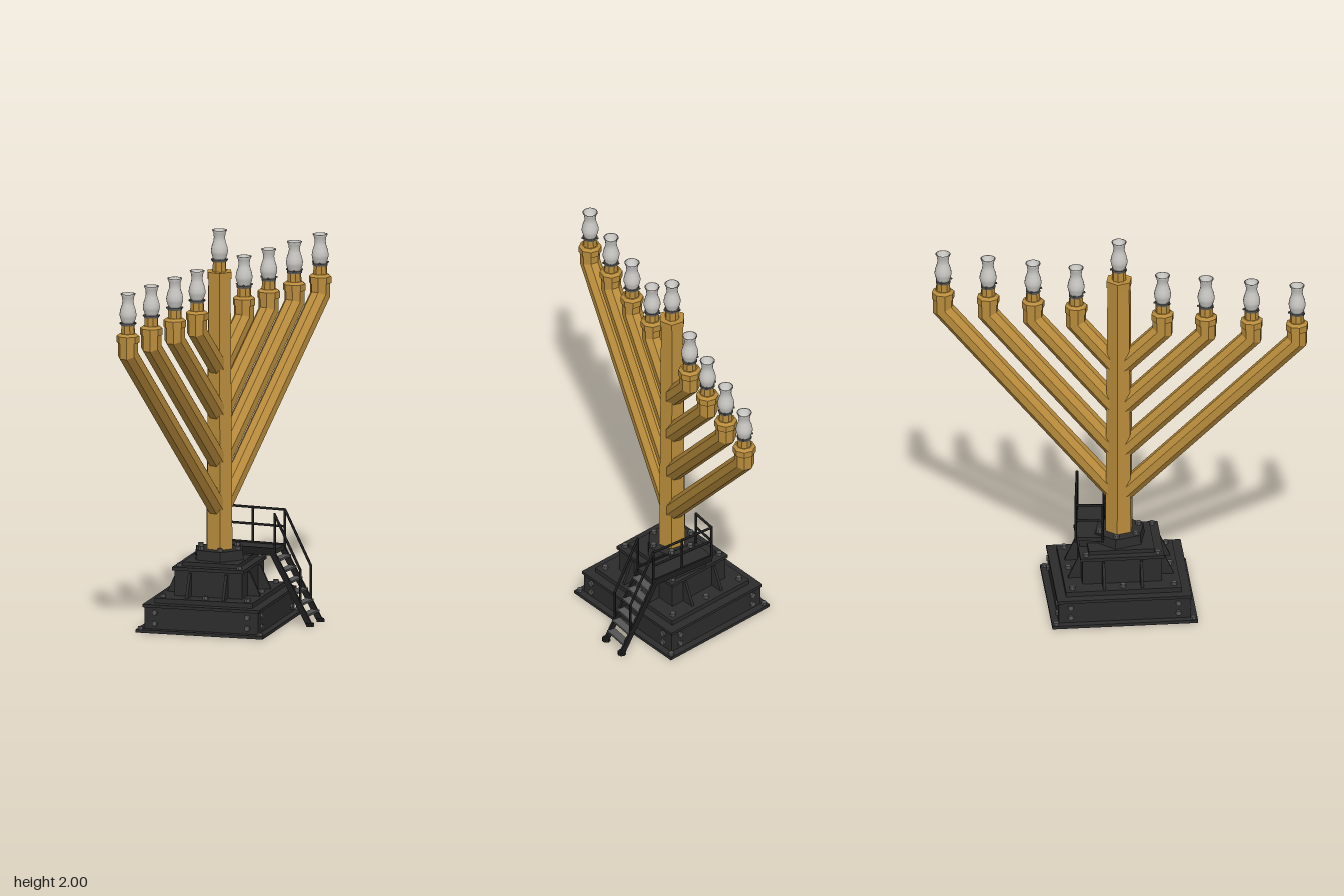
import * as THREE from 'three';

const mat = (name, color, side = THREE.FrontSide) => {
  const m = new THREE.MeshStandardMaterial({ color, side });
  m.name = name;
  return m;
};

export function createModel() {
  const gold = mat('gold', 0xb98c3c);
  const glass = mat('frosted glass', 0xc9c7c3, THREE.DoubleSide);
  const black = mat('black plinth', 0x2c2c2d);
  const dark = mat('dark railing', 0x1e1e1f);
  const steel = mat('grey steel', 0x565656);
  const root = new THREE.Group();
  root.name = 'branchedLampStand';

  const group = (name, parent) => {
    const g = new THREE.Group();
    g.name = name;
    parent.add(g);
    return g;
  };
  const add = (parent, name, geo, material, x = 0, y = 0, z = 0) => {
    const m = new THREE.Mesh(geo, material);
    m.name = name;
    m.position.set(x, y, z);
    parent.add(m);
    return m;
  };
  const flat = (geo) => {
    const g = geo.toNonIndexed();
    g.computeVertexNormals();
    return g;
  };
  const prism = (r0, r1, h, n) => flat(new THREE.CylinderGeometry(r1, r0, h, n));
  const box = (parent, name, w, y0, y1, d, material = black, x = 0, z = 0) =>
    add(parent, name, new THREE.BoxGeometry(w, y1 - y0, d), material, x, (y0 + y1) / 2, z);
  // Straight bar between two points
  const bar = (parent, name, a, b, r, material = dark, n = 6) => {
    const p = new THREE.Vector3(...a), q = new THREE.Vector3(...b);
    const m = add(parent, name, new THREE.CylinderGeometry(r, r, p.distanceTo(q), n), material);
    m.position.copy(p).add(q).multiplyScalar(0.5);
    m.quaternion.setFromUnitVectors(new THREE.Vector3(0, 1, 0), q.sub(p).normalize());
    return m;
  };

  const stand = group('stand', root);
  stand.position.x = -0.045;

  // Lamp: gold neck, glass chimney and small holding screws
  const chimney = new THREE.LatheGeometry([
    [0.001, 0], [0.033, 0], [0.035, 0.012], [0.041, 0.03], [0.043, 0.045], [0.039, 0.068], [0.03, 0.095],
    [0.028, 0.112], [0.031, 0.135], [0.038, 0.15], [0.032, 0.15], [0.024, 0.112], [0.001, 0.112],
  ].map(([x, y]) => new THREE.Vector2(x, y)), 16);
  const lamp = (parent, y, z, neck) => {
    const g = group('lamp', parent);
    g.position.set(0, y, z);
    add(g, 'lampNeck', prism(0.036, 0.034, neck, 8), gold, 0, neck / 2);
    add(g, 'lampSeat', prism(0.037, 0.037, 0.012, 12), steel, 0, neck);
    add(g, 'chimney', chimney, glass, 0, neck + 0.004);
    for (let i = 0; i < 3; i++) {
      const a = i * Math.PI * 2 / 3, c = Math.cos(a), s = Math.sin(a);
      bar(g, 'lampScrew', [c * 0.03, neck + 0.008, s * 0.03], [c * 0.047, neck + 0.008, s * 0.047], 0.005, steel);
    }
  };

  // Central post
  add(stand, 'post', prism(0.074, 0.063, 1.4, 6).rotateY(Math.PI / 2), gold, 0, 1.07);
  add(stand, 'postCollar', prism(0.068, 0.068, 0.035, 6).rotateY(Math.PI / 2), gold, 0, 1.772);
  lamp(stand, 1.785, 0, 0.06);

  // Branch: eight-sided pipe mitred at the elbow and cut off inside the post
  const slope = 1.06, elbowY = 1.52, topY = 1.59;
  const miter = Math.tan(Math.atan(1 / slope) / 2);
  const branchGeometry = (reach) => {
    const g = new THREE.CylinderGeometry(0.051, 0.051, 2, 8, 2).rotateY(Math.PI / 8);
    const p = g.attributes.position;
    for (let i = 0; i < p.count; i++) {
      const row = Math.round(p.getY(i)), oz = p.getZ(i);
      const bend = elbowY - oz * miter;
      if (row > 0) p.setXYZ(i, p.getX(i), topY, reach + oz);
      else if (row === 0) p.setXYZ(i, p.getX(i), bend, reach + oz);
      else p.setXYZ(i, p.getX(i), bend - slope * (reach + oz), 0);
    }
    return flat(g);
  };
  for (const [name, turn] of [['frontBranches', -0.033], ['rearBranches', Math.PI - 0.094]]) {
    const side = group(name, stand);
    side.rotation.y = turn;
    for (const reach of [0.22, 0.44, 0.67, 0.9]) {
      add(side, 'branch', branchGeometry(reach), gold);
      add(side, 'branchCollar', prism(0.057, 0.057, 0.034, 8).rotateY(Math.PI / 8), gold, 0, 1.598, reach);
      add(side, 'collarShoulder', prism(0.057, 0.04, 0.012, 8).rotateY(Math.PI / 8), gold, 0, 1.621, reach);
      lamp(side, 1.615, reach, 0.06);
    }
  }

  // Stepped plinth
  const base = group('plinth', stand);
  base.rotation.y = 0.218;
  box(base, 'groundFlange', 0.66, 0, 0.016, 0.73);
  box(base, 'lowerTier', 0.59, 0.016, 0.125, 0.66);
  box(base, 'lowerTierLip', 0.605, 0.125, 0.14, 0.675);
  box(base, 'ledgePlate', 0.51, 0.14, 0.165, 0.58);
  box(base, 'upperTier', 0.35, 0.165, 0.31, 0.4);
  box(base, 'upperTierLip', 0.37, 0.295, 0.312, 0.42);
  box(base, 'topPlate', 0.29, 0.312, 0.332, 0.33);
  add(base, 'hexFoot', prism(0.138, 0.132, 0.05, 6).rotateY(Math.PI / 2 - 0.218), black, 0, 0.356);

  const boltGeo = prism(0.016, 0.014, 0.018, 6);
  const bolt = (x, y, z) => add(base, 'bolt', boltGeo, steel, x, y, z);
  for (const sx of [-1, 1]) {
    for (const sz of [-1, 1]) {
      bolt(sx * 0.22, 0.173, sz * 0.255);
      bolt(sx * 0.155, 0.319, sz * 0.18);
      bolt(sx * 0.31, 0.02, sz * 0.345);
      // Side bolts on the lower tier
      for (const y of [0.045, 0.1]) {
        add(base, 'sideBolt', boltGeo, steel, sx * 0.297, y, sz * 0.27).rotation.z = Math.PI / 2;
        add(base, 'sideBolt', boltGeo, steel, sx * 0.24, y, sz * 0.332).rotation.x = Math.PI / 2;
      }
    }
    bolt(sx * 0.22, 0.173, 0);
    bolt(0, 0.173, sx * 0.255);
  }
  for (let i = 0; i < 6; i++) {
    const a = i * Math.PI / 3 + 0.218;
    bolt(Math.cos(a) * 0.106, 0.388, Math.sin(a) * 0.106);
  }

  // Triangular gussets around the upper tier
  const web = new THREE.Shape([[0, 0], [0.065, 0], [0.06, 0.015], [0.012, 0.12], [0, 0.12]]
    .map(([x, y]) => new THREE.Vector2(x, y)));
  const gussetGeo = new THREE.ExtrudeGeometry(web, { depth: 0.014, bevelEnabled: false }).translate(0, 0, -0.007);
  for (let i = 0; i < 4; i++) {
    const quarter = group('gussets', base);
    quarter.rotation.y = i * Math.PI / 2;
    for (const z of [-0.095, 0.095]) add(quarter, 'gusset', gussetGeo, black, i % 2 ? 0.2 : 0.175, 0.165, z);
  }

  // Access platform
  const access = group('accessPlatform', stand);
  access.rotation.y = 0.105;
  const zo = -0.215, zi = -0.08, zc = (zo + zi) / 2, x0 = -0.09, x1 = 0.265;
  box(access, 'deck', x1 - x0, 0.352, 0.374, zi - zo, black, (x0 + x1) / 2, zc);
  for (const z of [zo, zi]) box(access, 'deckEdge', x1 - x0, 0.345, 0.382, 0.01, dark, (x0 + x1) / 2, z);
  box(access, 'deckSupport', 0.2, 0.31, 0.352, 0.1, black, 0.03, zc);

  // Guard rail on the outer side and the closed end
  const r = 0.0065;
  for (const y of [0.47, 0.555]) {
    bar(access, 'outerRail', [x0, y, zo], [x1, y, zo], r);
    bar(access, 'endRail', [x0, y, zo], [x0, y, zi], r);
  }
  for (const [x, z] of [[x0, zo], [0.09, zo], [x1, zo], [x0, zi], [x1, zi]])
    bar(access, 'railPost', [x, 0.36, z], [x, 0.56, z], r);

  // Stair with stringers, handrails and feet
  for (const z of [zo, zi]) {
    const s = box(access, 'stringer', 0.03, -0.205, 0.205, 0.012, dark);
    s.position.set(0.352, 0.185, z);
    s.rotation.z = Math.atan2(0.205, 0.36);
    bar(access, 'handrail', [x1, 0.555, z], [0.405, 0.28, z], r);
    bar(access, 'handrailPost', [0.405, 0.285, z], [0.405, 0.09, z], r);
    add(access, 'stairFoot', prism(0.022, 0.02, 0.016, 8), dark, 0.457, 0.008, z);
  }
  for (let i = 0; i < 6; i++) {
    const t = (i + 0.6) / 6.4;
    box(access, 'tread', 0.042, 0.352 - t * 0.345, 0.362 - t * 0.345, zi - zo, steel, 0.258 + t * 0.197, zc);
  }
  return root;
}
